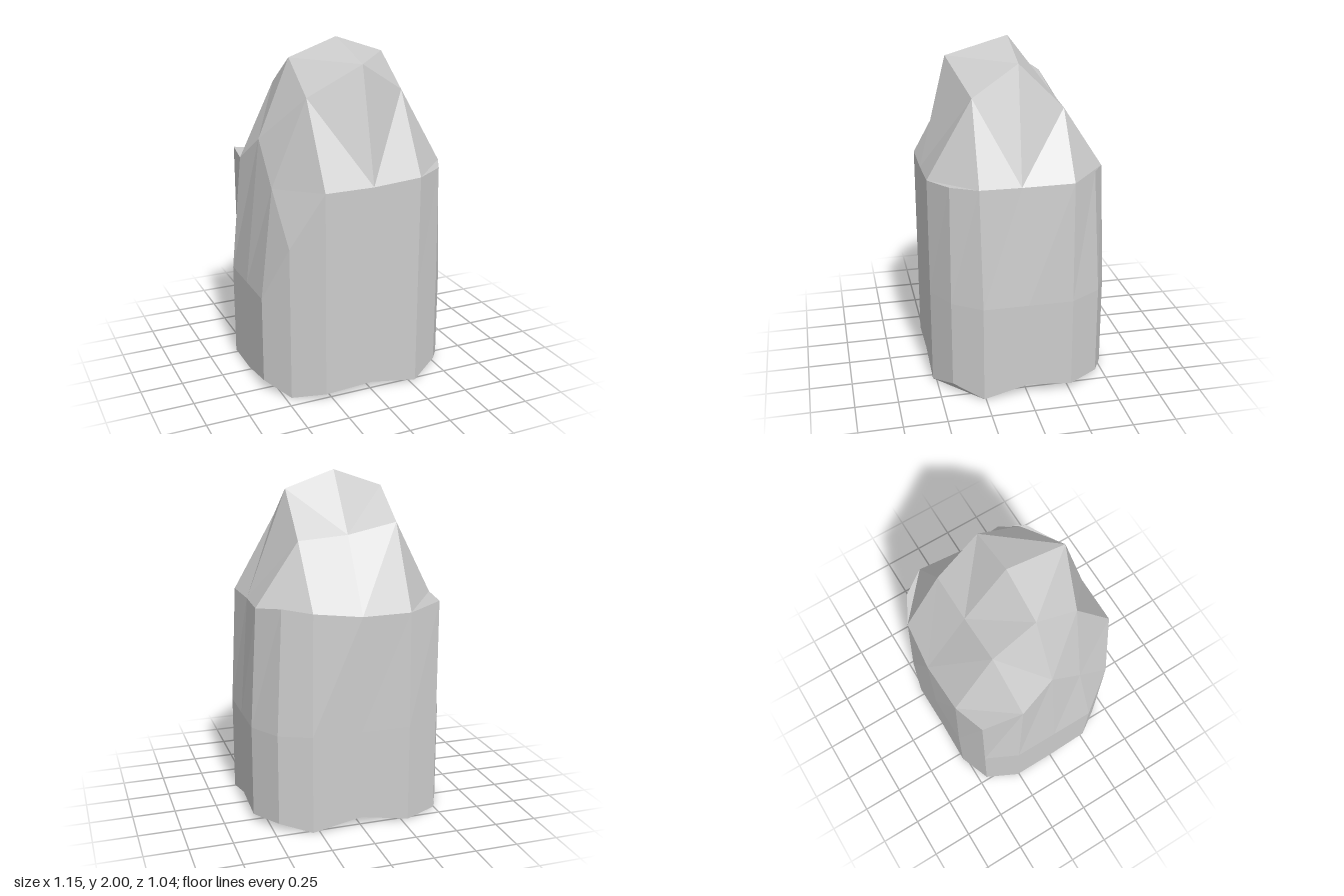
import * as THREE from 'three';

// Outline of the base, counter-clockwise from the front corner at -x: [x, z, height of bottom edge]
const base = [
  [-0.465, 0.42, 0], [-0.29, 0.52, 0.035], [0, 0.52, 0.05], [0.29, 0.52, 0],
  [0.465, 0.425, 0.06], [0.577, 0.26, 0], [0.577, 0, 0.065], [0.577, -0.26, 0.04],
  [0.47, -0.44, 0.045], [0.29, -0.523, 0], [0, -0.523, 0.055], [-0.29, -0.523, 0],
  [-0.485, -0.45, 0.015], [-0.577, -0.26, 0.01], [-0.577, 0, 0.015], [-0.577, 0.26, 0.06],
];

// Shoulder ring, where the walls break towards the peak: [x, y, z]
const shoulder = [
  [-0.465, 0.92, 0.42], [-0.29, 1.25, 0.52], [0, 1.25, 0.52], [0.29, 1.27, 0.52],
  [0.46, 1.28, 0.42], [0.54, 1.28, 0.27], [0.52, 1.27, 0.03], [0.54, 1.28, -0.265],
  [0.43, 1.3, -0.41], [0.275, 1.28, -0.495], [0, 1.25, -0.523], [-0.29, 1.25, -0.51],
  [-0.485, 1.29, -0.45], [-0.525, 1.29, -0.21], [-0.48, 1.45, 0], [-0.48, 1.21, 0.2],
];

// Peak points, rows from front to back, each from -x to +x
const peak = [
  [[-0.29, 1.72, 0.26], [0, 1.9, 0.36], [0.29, 1.72, 0.26]],
  [[-0.29, 1.9, 0], [0, 2, 0], [0.29, 1.9, 0]],
  [[-0.29, 1.72, -0.26], [0, 1.66, -0.26], [0.29, 1.64, -0.26]],
];

const foot = base.map(([x, z, y]) => [x, y, z]);
const waist = base.map(([x, z]) => [x, 0.58, z]);
const underside = peak.map((row, j) => row.map((p, i) => [(i - 1) * 0.29, 0, (1 - j) * 0.26]));

// Point of a 5 x 5 cap: the border comes from a ring, the inside from a 3 x 3 grid
function capPoint(ring, inner, i, j) {
  if (j === 0) return ring[i];
  if (i === 4) return ring[4 + j];
  if (j === 4) return ring[12 - i];
  if (i === 0) return ring[16 - j];
  return inner[j - 1][i - 1];
}

function createRockGeometry() {
  const positions = [];
  const tri = (...points) => points.forEach((p) => positions.push(...p));

  // Walls between successive rings
  const wall = (low, high) => {
    for (let k = 0; k < 16; k++) {
      const n = (k + 1) % 16;
      tri(low[k], low[n], high[n]);
      tri(low[k], high[n], high[k]);
    }
  };

  // Caps, with diagonals that cut across the four corners
  const cap = (ring, inner, up) => {
    const face = (a, b, c) => (up ? tri(a, b, c) : tri(a, c, b));
    for (let j = 0; j < 4; j++) {
      for (let i = 0; i < 4; i++) {
        const a = capPoint(ring, inner, i, j);
        const b = capPoint(ring, inner, i + 1, j);
        const c = capPoint(ring, inner, i + 1, j + 1);
        const d = capPoint(ring, inner, i, j + 1);
        if ((i < 2) === (j < 2)) {
          face(a, b, d);
          face(b, c, d);
        } else {
          face(a, b, c);
          face(a, c, d);
        }
      }
    }
  };

  wall(foot, waist);
  wall(waist, shoulder);
  cap(shoulder, peak, true);
  cap(foot, underside, false);

  const geometry = new THREE.BufferGeometry();
  geometry.setAttribute('position', new THREE.Float32BufferAttribute(positions, 3));
  geometry.computeVertexNormals();
  return geometry;
}

export function createModel() {
  const group = new THREE.Group();
  group.name = 'standingStone';
  const rock = new THREE.Mesh(
    createRockGeometry(),
    new THREE.MeshStandardMaterial({ color: 0xcccccc, flatShading: true }),
  );
  rock.name = 'rock';
  group.add(rock);
  return group;
}
